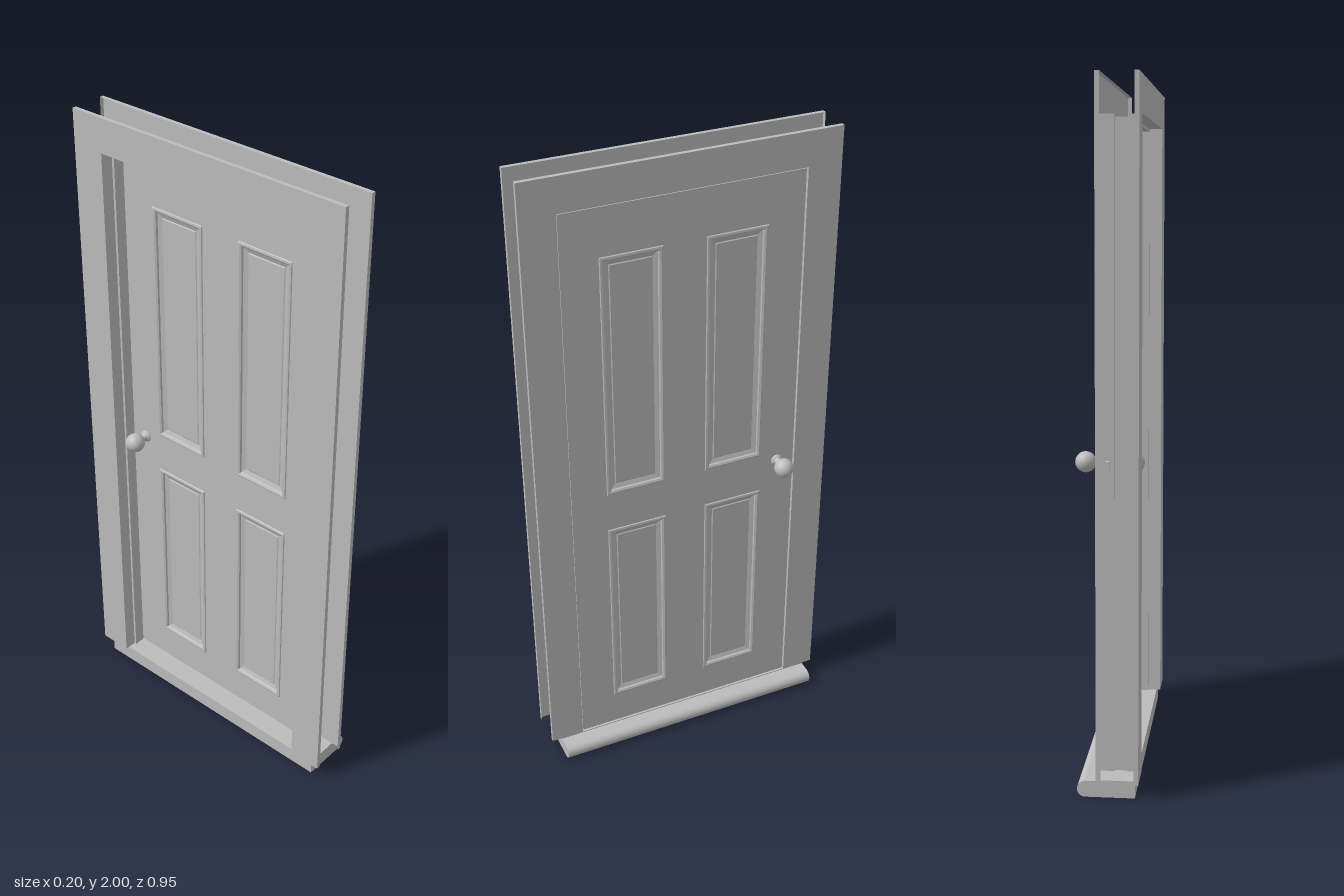
import * as THREE from 'three';

const grey = new THREE.MeshStandardMaterial({ color: 0xbcbcbc, side: THREE.DoubleSide });
grey.name = 'painted grey';

function mesh(name, geometry) {
  const m = new THREE.Mesh(geometry, grey);
  m.name = name;
  return m;
}

// Flat-faced skin between successive rings of points; a ring may be closed, the last one capped
function loft(rings, closed) {
  const out = [];
  const quad = (a, b, c, d) => out.push(...a, ...b, ...c, ...a, ...c, ...d);
  for (let i = 0; i < rings.length - 1; i++) {
    const p = rings[i], q = rings[i + 1], n = p.length;
    for (let j = 0; j < (closed ? n : n - 1); j++) {
      const k = (j + 1) % n;
      quad(p[j], p[k], q[k], q[j]);
    }
  }
  if (closed) quad(...rings[rings.length - 1]);
  const g = new THREE.BufferGeometry();
  g.setAttribute('position', new THREE.Float32BufferAttribute(out, 3));
  g.computeVertexNormals();
  return g;
}

// Jamb, stop and both hollow casings: one section swept up, across and down
function frame() {
  const section = [ // [x, distance outward from the opening]
    [-0.084, 0.105], [-0.097, 0.105], [-0.097, 0], [-0.057, 0], [-0.057, -0.008],
    [-0.021, -0.008], [-0.021, 0], [0.022, 0], [0.022, 0.105], [0.009, 0.105],
  ];
  const rings = section.map(([x, o]) => {
    const z = 0.37 + o, top = 1.895 + o;
    return [[x, 0.05, z], [x, top, z], [x, top, -z], [x, 0.05, -z]];
  });
  return mesh('doorFrame', loft(rings, false));
}

const panels = [];
for (const z of [0.16, -0.16]) {
  panels.push({ z, y0: 0.165, y1: 0.837 }, { z, y0: 0.965, y1: 1.745 });
}
const PANEL_HALF = 0.095, THICK = 0.037, KNOB_Y = 0.936, KNOB_Z = -0.311;

// Stiles and rails with four openings
function slab() {
  const rect = (P, x0, x1, y0, y1) => {
    const p = new P();
    p.moveTo(x0, y0);
    p.lineTo(x1, y0);
    p.lineTo(x1, y1);
    p.lineTo(x0, y1);
    p.closePath();
    return p;
  };
  const s = rect(THREE.Shape, -0.367, 0.367, 0.052, 1.891);
  for (const p of panels) {
    s.holes.push(rect(THREE.Path, -p.z - PANEL_HALF, -p.z + PANEL_HALF, p.y0, p.y1));
  }
  const g = new THREE.ExtrudeGeometry(s, { depth: THICK, bevelEnabled: false });
  g.translate(0, 0, -THICK / 2);
  g.rotateY(Math.PI / 2);
  return mesh('doorSlab', g);
}

// Moulded sunken panel: lip, groove, slope and flat field
function panel({ z, y0, y1 }) {
  const section = [ // [distance inward, height above the door face]
    [0, 0], [0.002, 0.003], [0.008, 0.004], [0.014, 0.001], [0.016, -0.004], [0.03, -0.009], [0.033, -0.007],
  ];
  const rings = section.map(([d, h]) => {
    const x = THICK / 2 + h, w = PANEL_HALF - d;
    return [[x, y0 + d, z + w], [x, y0 + d, z - w], [x, y1 - d, z - w], [x, y1 - d, z + w]];
  });
  return mesh('sunkenPanel', loft(rings, true));
}

// Round knob with rose and neck, turned about the x axis
function knob() {
  const pts = [[0.019, 0], [0.019, 0.003], [0.016, 0.007], [0.011, 0.009], [0.010, 0.022]];
  const R = 0.03, C = 0.05;
  for (let i = 0; i <= 14; i++) {
    const a = THREE.MathUtils.lerp(0.35, Math.PI, i / 14);
    pts.push([R * Math.sin(a), C - R * Math.cos(a)]);
  }
  const g = new THREE.LatheGeometry(pts.map(([r, h]) => new THREE.Vector2(Math.max(r, 0), h)), 32);
  g.rotateZ(-Math.PI / 2);
  return mesh('knob', g);
}

// Threshold with a rounded nose
function threshold() {
  const s = new THREE.Shape();
  s.moveTo(-0.085, 0);
  s.lineTo(0.056, 0);
  s.absarc(0.056, 0.0235, 0.0235, -Math.PI / 2, Math.PI / 2, false);
  s.lineTo(0.022, 0.047);
  s.lineTo(0.022, 0.05);
  s.lineTo(-0.085, 0.05);
  s.closePath();
  const g = new THREE.ExtrudeGeometry(s, { depth: 0.886, bevelEnabled: false, curveSegments: 16 });
  g.translate(0, 0, -0.443);
  return mesh('threshold', g);
}

export function createModel() {
  const model = new THREE.Group();
  model.name = 'panelDoor';
  model.add(frame(), threshold());

  const door = new THREE.Group();
  door.name = 'door';
  door.position.x = -0.0015;
  door.add(slab());
  for (const side of [1, -1]) {
    const face = new THREE.Group();
    face.name = side > 0 ? 'outerFace' : 'innerFace';
    face.rotation.y = side > 0 ? 0 : Math.PI;
    panels.forEach((p) => face.add(panel(p)));
    const k = knob();
    k.position.set(THICK / 2, KNOB_Y, KNOB_Z * side);
    face.add(k);
    door.add(face);
  }
  model.add(door);

  // Latch pocket in the jamb
  const latch = mesh('latch', new THREE.BoxGeometry(0.013, 0.025, 0.02));
  latch.position.set(-0.0015, KNOB_Y, -0.372);
  model.add(latch);
  return model;
}
